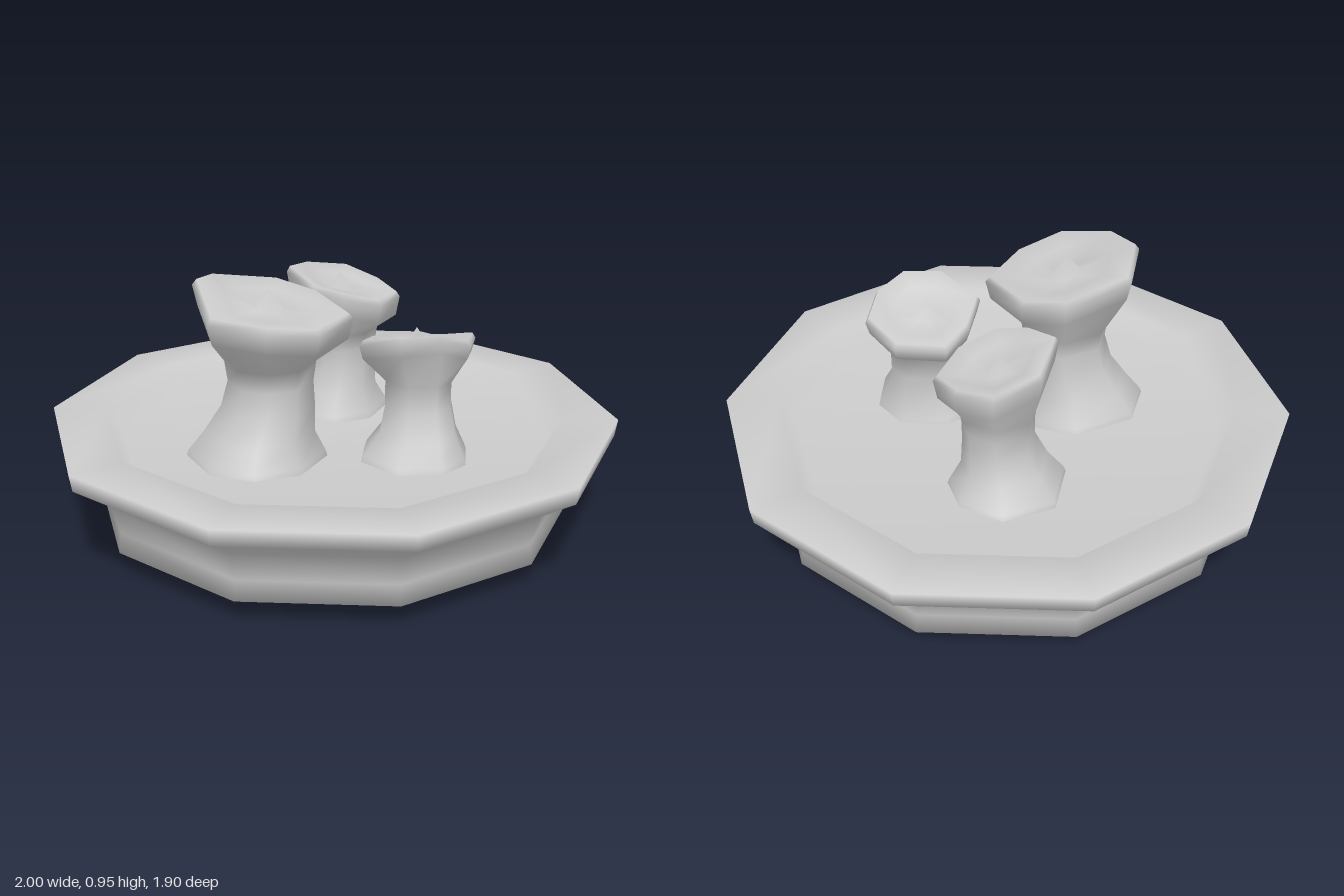
import * as THREE from 'three';

const material = new THREE.MeshStandardMaterial({ color: 0xcccccc });

// Ten-sided dish with a broad flat rim and a sunken floor
function makeDish() {
  const profile = [
    [0, 0], [0.61, 0], [0.84, 0.08], [0.83, 0.15], [0.865, 0.26],
    [0.99, 0.34], [1, 0.4], [0.81, 0.4], [0.76, 0.325], [0, 0.315],
  ].map(([r, y]) => new THREE.Vector2(r, y));
  const dish = new THREE.Mesh(new THREE.LatheGeometry(profile, 10, Math.PI / 2), material);
  dish.name = 'dish';
  return dish;
}

// Flared eight-sided stump: round rings below, an irregular tilted rim above.
// rim: [x, z, y] points; rings: [x, z, y, radius] from the bottom up.
function makeStump(name, rings, rim, peak, lipDepth) {
  const n = rim.length;
  const [px, pz, py] = peak;
  const mean = rim.reduce((sum, p) => sum + p[2], 0) / n;
  const positions = [];
  const indices = [];

  // Trunk
  for (const [x, z, y, r] of rings) {
    for (const p of rim) {
      const a = Math.atan2(p[1] - pz, p[0] - px);
      positions.push(x + r * Math.cos(a), y, z + r * Math.sin(a));
    }
  }
  // Lip, rim and shallow hollow: [scale, tilt kept, height offset]
  const cap = [[0.94, 1, -lipDepth], [1, 1, -0.02], [0.94, 1, 0], [0.6, 0.7, -0.015], [0.2, 0.2, -0.03]];
  for (const [s, tilt, dy] of cap) {
    for (const [x, z, y] of rim) {
      positions.push(px + (x - px) * s, mean + (y - mean) * tilt + dy, pz + (z - pz) * s);
    }
  }
  // Pointed centre
  positions.push(px, py, pz);

  const count = rings.length + cap.length;
  for (let j = 0; j < count; j++) {
    for (let i = 0; i < n; i++) {
      const a = j * n + i;
      const b = j * n + (i + 1) % n;
      if (j === count - 1) indices.push(a, count * n, b);
      else indices.push(a, a + n, b, b, a + n, b + n);
    }
  }
  const geometry = new THREE.BufferGeometry();
  geometry.setAttribute('position', new THREE.Float32BufferAttribute(positions, 3));
  geometry.setIndex(indices);
  geometry.computeVertexNormals();
  const stump = new THREE.Mesh(geometry, material);
  stump.name = name;
  return stump;
}

export function createModel() {
  const group = new THREE.Group();
  group.name = 'dishWithStumps';
  group.add(makeDish());

  group.add(makeStump('largeStump',
    [[-0.25, 0.19, 0.31, 0.245], [-0.25, 0.19, 0.34, 0.235], [-0.24, 0.19, 0.41, 0.19],
      [-0.21, 0.18, 0.5, 0.16], [-0.2, 0.18, 0.59, 0.145], [-0.2, 0.18, 0.66, 0.155]],
    [[-0.2, -0.07, 0.88], [-0.05, -0.02, 0.85], [0.08, 0.18, 0.83], [-0.02, 0.38, 0.83],
      [-0.18, 0.47, 0.86], [-0.37, 0.44, 0.88], [-0.45, 0.22, 0.95], [-0.42, 0.04, 0.92]],
    [-0.2, 0.19, 0.915], 0.09));

  group.add(makeStump('backStump',
    [[-0.02, -0.32, 0.31, 0.21], [-0.02, -0.32, 0.34, 0.2], [-0.01, -0.31, 0.41, 0.15],
      [0.01, -0.31, 0.5, 0.125], [0.01, -0.31, 0.57, 0.125], [0.01, -0.31, 0.63, 0.135]],
    [[0.02, -0.51, 0.81], [0.15, -0.43, 0.78], [0.225, -0.32, 0.76], [0.16, -0.16, 0.77],
      [0.03, -0.1, 0.81], [-0.08, -0.12, 0.83], [-0.18, -0.24, 0.87], [-0.13, -0.42, 0.84]],
    [0.01, -0.31, 0.835], 0.09));

  group.add(makeStump('smallStump',
    [[0.29, 0.17, 0.31, 0.195], [0.29, 0.17, 0.34, 0.185], [0.3, 0.155, 0.41, 0.14],
      [0.3, 0.13, 0.5, 0.12], [0.3, 0.125, 0.59, 0.12]],
    [[0.2, -0.06, 0.69], [0.38, -0.05, 0.69], [0.49, 0.05, 0.73], [0.47, 0.21, 0.75],
      [0.38, 0.28, 0.79], [0.24, 0.3, 0.78], [0.1, 0.2, 0.74], [0.13, 0.05, 0.71]],
    [0.29, 0.13, 0.77], 0.065));

  return group;
}
